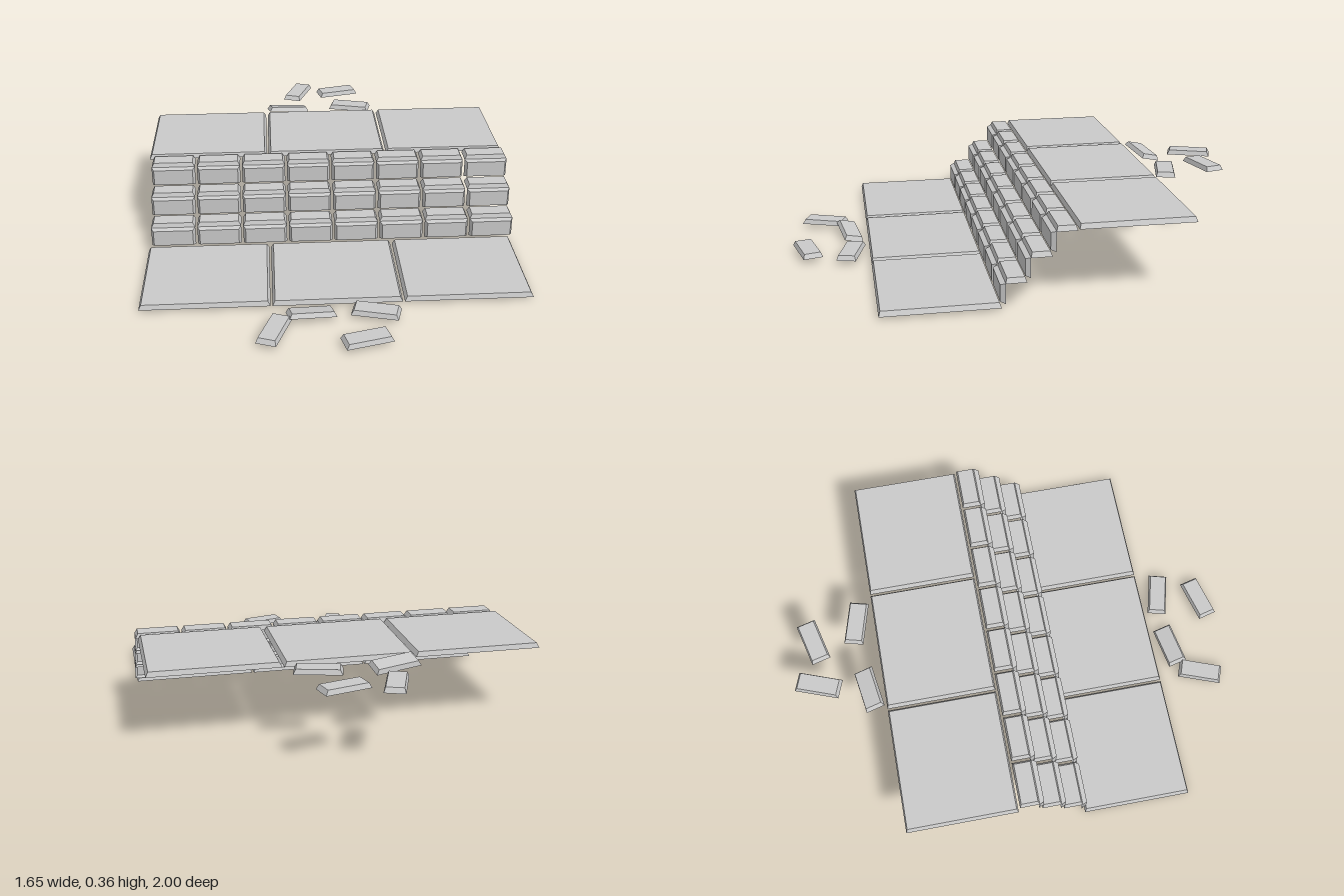
import * as THREE from 'three';

const THICK = 0.021, BEVEL_X = 0.011, BEVEL_Z = 0.007;

// Hollow slab: sloping sides, smaller upper face, open base
function slabGeometry(w, d) {
  const g = new THREE.BoxGeometry(w, THICK, d);
  const p = g.attributes.position;
  for (let i = 0; i < p.count; i++) {
    if (p.getY(i) > 0) {
      p.setX(i, p.getX(i) - Math.sign(p.getX(i)) * BEVEL_X);
      p.setZ(i, p.getZ(i) - Math.sign(p.getZ(i)) * BEVEL_Z);
    }
  }
  // Leave out the base, which is the fourth face of the box
  const faces = Array.from(g.index.array);
  faces.splice(18, 6);
  g.setIndex(faces);
  g.clearGroups();
  g.computeVertexNormals();
  return g;
}

export function createModel() {
  const model = new THREE.Group();
  model.name = 'stoneSteps';
  const stone = new THREE.MeshStandardMaterial({ color: 0xc9c9c9, side: THREE.DoubleSide });
  stone.name = 'lightGreyStone';
  const brick = slabGeometry(0.197, 0.086);
  const paving = slabGeometry(0.543, 0.481);

  function add(name, geometry, x, y, z, parent) {
    const mesh = new THREE.Mesh(geometry, stone);
    mesh.name = name;
    mesh.position.set(x, y, z);
    parent.add(mesh);
    return mesh;
  }
  function addGroup(name) {
    const g = new THREE.Group();
    g.name = name;
    model.add(g);
    return g;
  }

  // Lower and upper landings, three large slabs each
  for (const [name, y, z] of [['lowerLanding', 0.0225, 0.421], ['upperLanding', 0.332, -0.368]]) {
    const landing = addGroup(name);
    for (let i = -1; i <= 1; i++) add('pavingSlab', paving, -0.006 + i * 0.551, y, z, landing);
  }

  // Three steps of eight bricks, each a flat tread over an upright riser
  for (let s = 0; s < 3; s++) {
    const step = addGroup('step' + (s + 1));
    for (let i = 0; i < 8; i++) {
      const x = -0.714 + i * 0.206;
      add('tread', brick, x, 0.129 + s * 0.1015, 0.124 - s * 0.1, step);
      const riser = add('riser', brick, x, 0.077 + s * 0.102, 0.177 - s * 0.1, step);
      riser.rotation.x = Math.PI / 2;
    }
  }

  // Loose bricks scattered at both ends: x, z, turn, tilted
  const scatter = {
    frontLooseBricks: [0.032, [
      [-0.12, 0.741, 0.18, true], [0.145, 0.745, -0.26, false],
      [0.091, 0.934, 0.25, false], [-0.274, 0.853, 1.215, false]]],
    backLooseBricks: [0.334, [
      [-0.173, -0.677, 0.18, true], [0.145, -0.688, -0.26, false],
      [0.091, -0.89, 0.25, false], [-0.115, -0.891, 1.215, false]]],
  };
  for (const [name, [y, list]] of Object.entries(scatter)) {
    const pile = addGroup(name);
    for (const [x, z, turn, tilted] of list) {
      const b = add('looseBrick', brick, x, tilted ? y - 0.003 : y, z, pile);
      b.rotation.set(tilted ? -0.23 : 0, turn, tilted ? -0.085 : 0, 'YXZ');
    }
  }
  return model;
}
